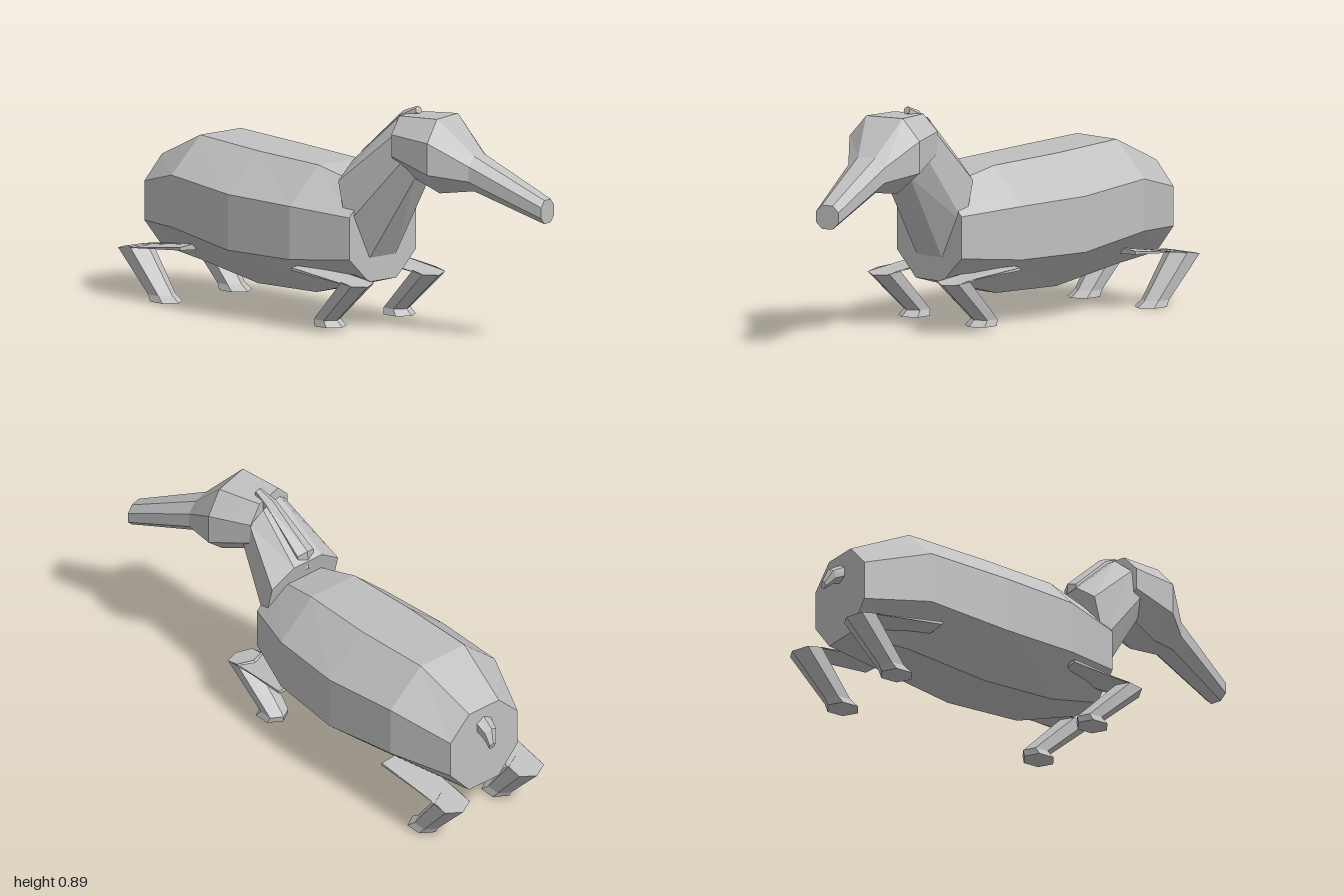
import * as THREE from 'three';

const grey = new THREE.MeshStandardMaterial({ color: 0xc0c0c0, flatShading: true });
grey.name = 'plain grey';

// Skin a list of equal-length rings and cap both ends, facing outward
function loft(name, rings) {
  const n = rings[0].length, tris = [];
  const tri = (a, b, c) => tris.push([a, b, c]);
  for (let i = 0; i < rings.length - 1; i++) {
    for (let j = 0; j < n; j++) {
      const k = (j + 1) % n, a = rings[i], b = rings[i + 1];
      tri(a[j], b[j], b[k]);
      tri(a[j], b[k], a[k]);
    }
  }
  const first = rings[0], last = rings[rings.length - 1];
  for (let j = 1; j < n - 1; j++) {
    tri(first[0], first[j], first[j + 1]);
    tri(last[0], last[j + 1], last[j]);
  }
  let volume = 0;
  for (const [a, b, c] of tris) volume += a.dot(b.clone().cross(c));
  const pos = [];
  for (const [a, b, c] of tris) {
    for (const p of volume < 0 ? [a, c, b] : [a, b, c]) pos.push(p.x, p.y, p.z);
  }
  const geo = new THREE.BufferGeometry();
  geo.setAttribute('position', new THREE.Float32BufferAttribute(pos, 3));
  geo.computeVertexNormals();
  const mesh = new THREE.Mesh(geo, grey);
  mesh.name = name;
  return mesh;
}

// Upright eight-sided ring: side half-width w, top wt, bottom wb, four heights,
// turned by yaw and leaning by lean (z per unit of y above the bottom)
function octagon({ x = 0, z, w, wt, wb, y: [top, hi, lo, bot], yaw = 0, lean = 0 }) {
  const half = [[wt, top], [w, hi], [w, lo], [wb, bot]];
  const outline = [...half, ...half.map(([u, y]) => [-u, y]).reverse()];
  return outline.map(([u, y]) => new THREE.Vector3(
    x + u * Math.cos(yaw), y, z - u * Math.sin(yaw) + lean * (y - bot)));
}

// Six-sided ring with ridge points at +-(dy, dz) and half-width w
function hexagon(x, y, z, w, dy, dz) {
  return [[0, 1], [1, 0.5], [1, -0.5], [0, -1], [-1, -0.5], [-1, 0.5]].map(
    ([u, v]) => new THREE.Vector3(x + u * w, y + v * dy, z + v * dz));
}

export function createModel() {
  const model = new THREE.Group();
  model.name = 'animal';

  // Barrel body
  model.add(loft('body', [
    { z: 0.255, w: 0.18, wt: 0.075, wb: 0.075, y: [0.56, 0.455, 0.29, 0.19] },
    { z: 0.01, w: 0.265, wt: 0.11, wb: 0.12, y: [0.625, 0.48, 0.27, 0.125] },
    { z: -0.31, w: 0.29, wt: 0.12, wb: 0.125, y: [0.64, 0.49, 0.27, 0.12] },
    { z: -0.65, w: 0.265, wt: 0.11, wb: 0.11, y: [0.66, 0.52, 0.315, 0.17] },
    { z: -0.9, w: 0.17, wt: 0.075, wb: 0.075, y: [0.55, 0.455, 0.3, 0.19] },
  ].map(octagon)));

  // Neck, leaning forward and turning to the left
  model.add(loft('neck', [
    { z: 0.256, w: 0.167, wt: 0.07, wb: 0.07, y: [0.66, 0.59, 0.42, 0.285], lean: -0.25 },
    { x: 0.025, z: 0.455, w: 0.115, wt: 0.055, wb: 0.06, y: [0.845, 0.79, 0.69, 0.62], yaw: 0.25, lean: -0.45 },
  ].map(octagon)));

  // Head and long snout
  model.add(loft('head', [
    { x: 0.015, z: 0.38, w: 0.128, wt: 0.065, wb: 0.055, y: [0.86, 0.795, 0.71, 0.645] },
    { x: 0.06, z: 0.555, w: 0.157, wt: 0.082, wb: 0.06, y: [0.865, 0.78, 0.655, 0.57] },
    { x: 0.1, z: 0.69, w: 0.082, wt: 0.038, wb: 0.038, y: [0.725, 0.69, 0.63, 0.587] },
    { x: 0.185, z: 0.985, w: 0.05, wt: 0.024, wb: 0.024, y: [0.575, 0.55, 0.507, 0.482] },
  ].map((r) => octagon({ ...r, yaw: 0.28 }))));

  // Mane ridge down the back of the neck
  model.add(loft('mane', [
    hexagon(-0.005, 0.61, 0.19, 0.035, 0.01, -0.025),
    hexagon(0, 0.68, 0.19, 0.04, 0.025, -0.025),
    hexagon(0.03, 0.84, 0.36, 0.025, 0.025, -0.02),
    hexagon(0.04, 0.875, 0.415, 0.015, 0.015, -0.005),
  ]));

  // Short tail
  model.add(loft('tail', [
    hexagon(0, 0.475, -0.885, 0.037, 0.04, 0),
    hexagon(0.005, 0.45, -0.94, 0.028, 0.028, -0.012),
    hexagon(0.015, 0.41, -0.968, 0.014, 0.015, -0.005),
  ]));

  // Bent legs: hip, knee, ankle, hoof top, sole
  for (const s of [1, -1]) {
    const side = s > 0 ? 'Left' : 'Right';
    model.add(loft('front' + side + 'Leg', [
      hexagon(s * 0.195, 0.235, 0.02, 0.072, 0.012, 0),
      hexagon(s * 0.193, 0.21, 0.315, 0.062, -0.012, 0.055),
      hexagon(s * 0.188, 0.045, 0.14, 0.046, 0, 0.055),
      hexagon(s * 0.187, 0.02, 0.157, 0.054, 0, 0.067),
    ]));
    model.add(loft('rear' + side + 'Leg', [
      hexagon(s * 0.195, 0.235, -0.6, 0.072, 0.012, 0),
      hexagon(s * 0.188, 0.2, -0.932, 0.062, -0.012, -0.065),
      hexagon(s * 0.187, 0.025, -0.785, 0.046, 0, -0.058),
      hexagon(s * 0.187, 0, -0.76, 0.054, 0, -0.07),
    ]));
  }
  return model;
}
